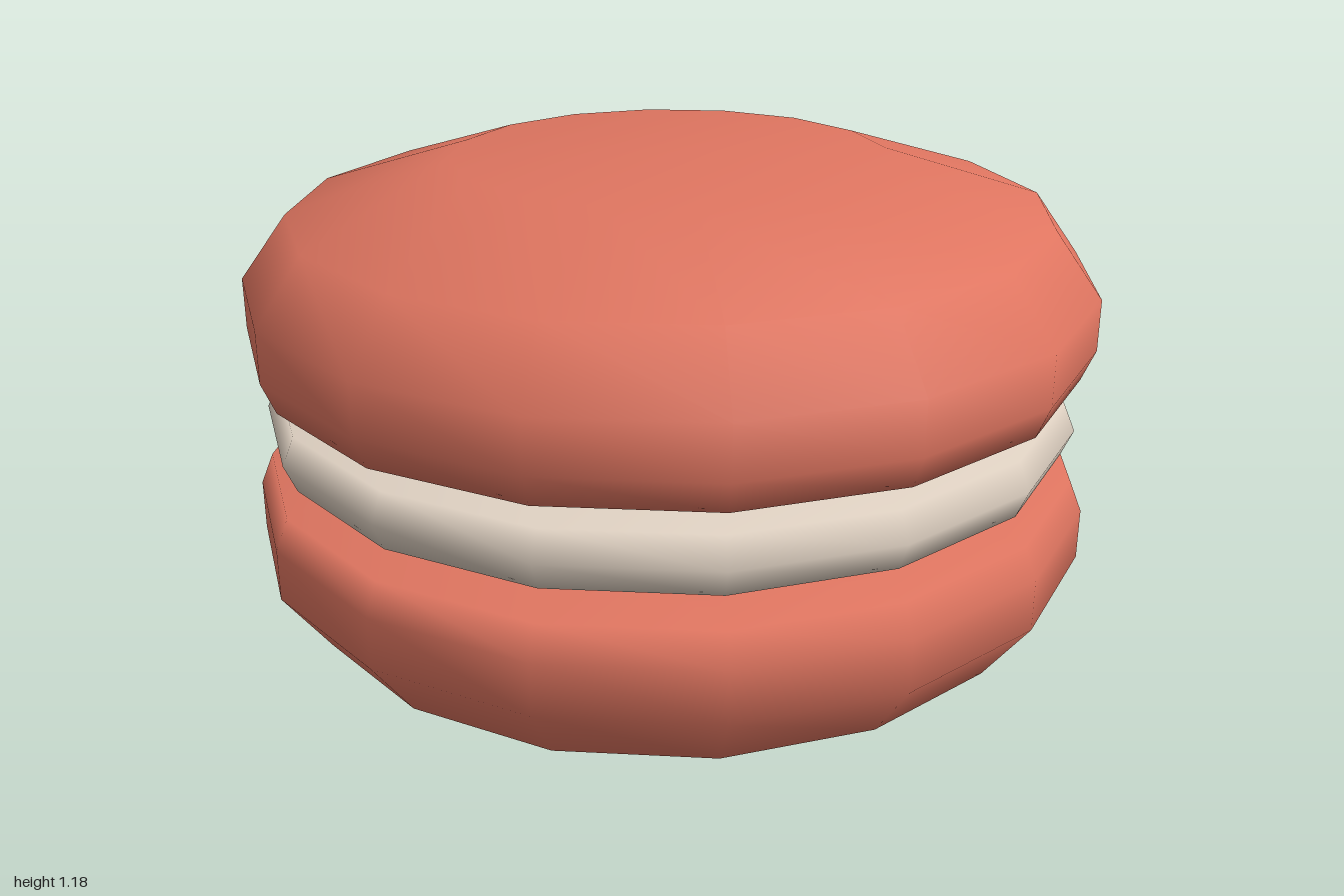
import * as THREE from 'three';

const SIDES = 16;
const MIDDLE = 0.589; // height of the plane the two shells mirror about

// Profiles as [radius, height above the middle plane], from bottom to top
const SHELL = [
  [0, 0.098], [0.6, 0.098], [0.97, 0.126], [1, 0.199],
  [1, 0.319], [0.89, 0.469], [0.51, 0.589], [0, 0.589],
];
const FILLING = [
  [0, -0.098], [0.58, -0.098], [0.94, -0.065], [0.968, 0],
  [0.94, 0.065], [0.58, 0.098], [0, 0.098],
];

function turned(name, profile, material) {
  const points = profile.map(([r, y]) => new THREE.Vector2(r, y));
  const mesh = new THREE.Mesh(new THREE.LatheGeometry(points, SIDES), material);
  mesh.name = name;
  mesh.position.y = MIDDLE;
  return mesh;
}

export function createModel() {
  const biscuit = new THREE.MeshStandardMaterial({ color: 0xdf7560 });
  biscuit.name = 'coral biscuit';
  const cream = new THREE.MeshStandardMaterial({ color: 0xdfd1c2 });
  cream.name = 'cream';

  // The lower shell is the upper profile flipped and reversed
  const lower = SHELL.map(([r, y]) => [r, -y]).reverse();

  const group = new THREE.Group();
  group.name = 'macaron';
  group.add(
    turned('topShell', SHELL, biscuit),
    turned('creamFilling', FILLING, cream),
    turned('bottomShell', lower, biscuit),
  );
  return group;
}
